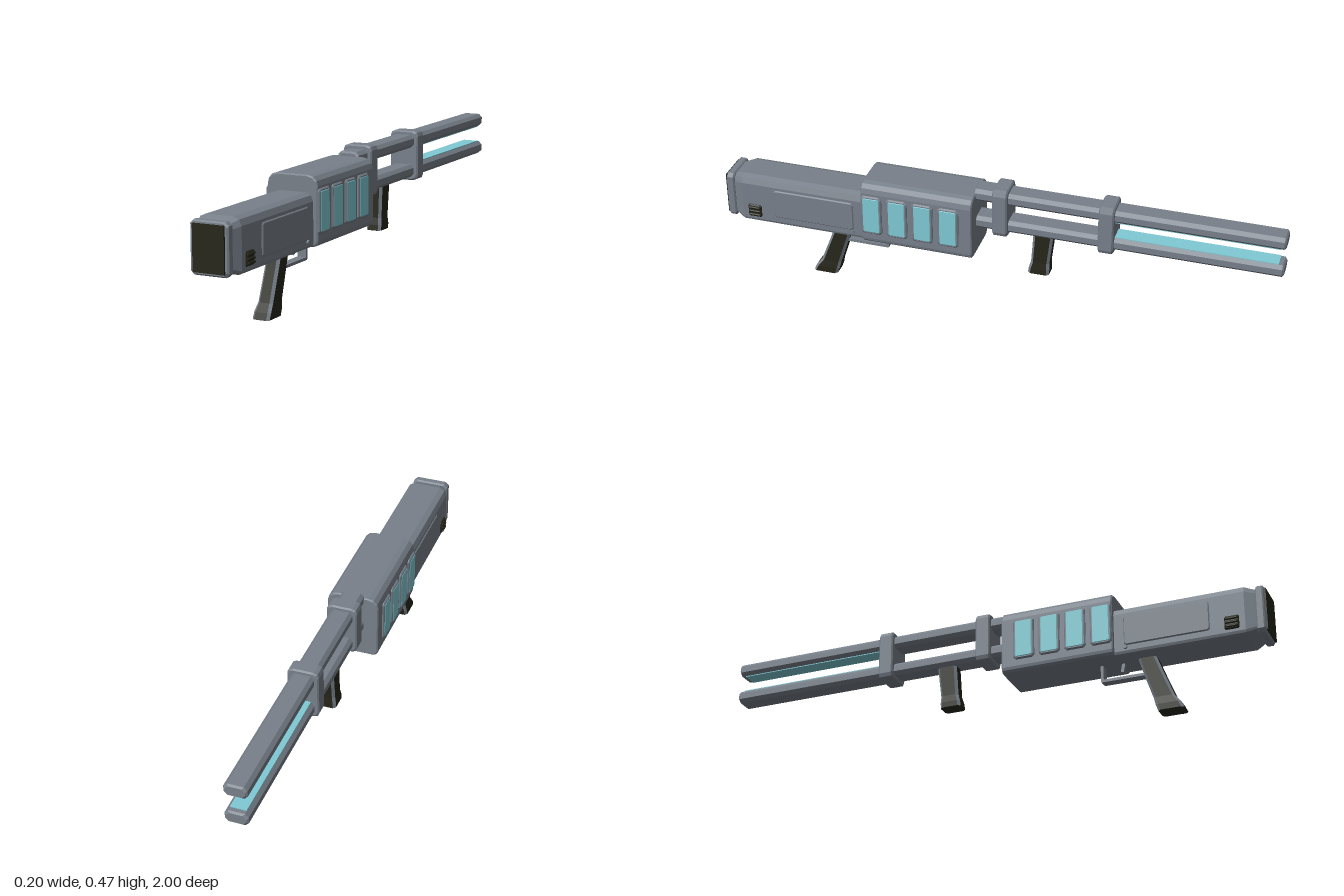
import * as THREE from 'three';

const grey = new THREE.MeshStandardMaterial({ color: 0x78808a });
grey.name = 'gunmetal grey';
const dark = new THREE.MeshStandardMaterial({ color: 0x26261b });
dark.name = 'grip black';
const cyan = new THREE.MeshStandardMaterial({ color: 0x7fcad4 });
cyan.name = 'glowing cyan';

// Rectangle outline with cut or rounded corners, counter-clockwise
function section(hw, y0, y1, rTop, rBottom = rTop, seg = 1) {
  const pts = [];
  const corners = [[1, 1, 0], [-1, 1, 1], [-1, 0, 2], [1, 0, 3]];
  for (const [sx, top, q] of corners) {
    const r = top ? rTop : rBottom;
    const cx = sx * (hw - r), cy = top ? y1 - r : y0 + r;
    for (let i = 0; i <= seg; i++) {
      const a = (q + i / seg) * Math.PI / 2;
      pts.push([cx + r * Math.cos(a), cy + r * Math.sin(a)]);
    }
  }
  return pts;
}

// Flat-shaded loft through outlines along z; group 0 = sides and caps, group 1 = corner strips
function loft(rings) {
  const flat = [], strips = [];
  const n = rings[0].pts.length, per = n / 4;
  const at = (r, i) => [...rings[r].pts[i % n], rings[r].z];
  for (let r = 0; r < rings.length - 1; r++) {
    for (let i = 0; i < n; i++) {
      const a = at(r, i), b = at(r, i + 1), c = at(r + 1, i + 1), d = at(r + 1, i);
      (i % per === per - 1 ? flat : strips).push(...a, ...b, ...c, ...a, ...c, ...d);
    }
  }
  const last = rings.length - 1;
  for (let i = 1; i < n - 1; i++) {
    flat.push(...at(0, 0), ...at(0, i + 1), ...at(0, i));
    flat.push(...at(last, 0), ...at(last, i), ...at(last, i + 1));
  }
  const g = new THREE.BufferGeometry();
  g.setAttribute('position', new THREE.Float32BufferAttribute([...flat, ...strips], 3));
  g.addGroup(0, flat.length / 3, 0);
  g.addGroup(flat.length / 3, strips.length / 3, 1);
  g.computeVertexNormals();
  return g;
}

// Straight bar along z with softened ends
function bar(hw, y0, y1, z0, z1, rTop, rBottom = rTop, bevel = 0.006, seg = 1) {
  const full = section(hw, y0, y1, rTop, rBottom, seg);
  const end = section(hw - bevel, y0 + bevel, y1 - bevel, rTop, rBottom, seg);
  return loft([
    { z: z0, pts: end }, { z: z0 + bevel, pts: full },
    { z: z1 - bevel, pts: full }, { z: z1, pts: end },
  ]);
}

export function createModel() {
  const model = new THREE.Group();
  const add = (name, geo, mat, parent = model) => {
    const m = new THREE.Mesh(geo, mat);
    m.name = name;
    parent.add(m);
    return m;
  };
  const box = (name, mat, x0, x1, y0, y1, z0, z1) => {
    const m = add(name, new THREE.BoxGeometry(x1 - x0, y1 - y0, z1 - z0), mat);
    m.position.set((x0 + x1) / 2, (y0 + y1) / 2, (z0 + z1) / 2);
    return m;
  };
  const both = [grey, grey];

  // Receiver housing
  add('receiver', bar(0.093, 0.203, 0.44, 0.07, 0.475, 0.036, 0.02, 0.004, 3), both);

  // Stock, narrowing towards the butt
  const stockFull = section(0.077, 0.203, 0.383, 0.028, 0.012, 2);
  add('stock', loft([
    { z: 0.46, pts: stockFull }, { z: 0.93, pts: stockFull },
    { z: 0.968, pts: section(0.06, 0.218, 0.37, 0.022, 0.01, 2) },
  ]), both);
  add('buttPlate', bar(0.068, 0.204, 0.376, 0.964, 0.994, 0.012, 0.012, 0.005), both);
  box('buttPad', dark, -0.056, 0.056, 0.214, 0.366, 0.99, 1);

  // Details on each side
  for (const s of [1, -1]) {
    const side = new THREE.Group();
    side.name = s > 0 ? 'leftDetails' : 'rightDetails';
    side.rotation.y = s * Math.PI / 2;
    model.add(side);
    // In this group local z points outwards and local x runs along the gun
    const plate = (name, mat, zMid, len, y0, y1, w0, w1, r) => {
      const m = add(name, bar(len / 2, y0, y1, w0, w1, r, r, Math.min(0.004, (w1 - w0) / 3)), mat, side);
      m.position.x = -s * zMid;
    };
    for (let i = 0; i < 4; i++) {
      const z = 0.435 - i * 0.0935;
      plate('windowFrame', both, z, 0.076, 0.246, 0.397, 0.088, 0.1, 0.008);
      plate('window', [cyan, cyan], z, 0.06, 0.254, 0.389, 0.097, 0.1015, 0.003);
    }
    plate('stockPanel', both, 0.66, 0.3, 0.235, 0.345, 0.07, 0.081, 0.006);
    plate('ventFrame', [dark, dark], 0.885, 0.05, 0.225, 0.273, 0.07, 0.083, 0.004);
    for (let i = 0; i < 3; i++) {
      plate('ventSlat', [dark, dark], 0.885, 0.044, 0.23 + i * 0.014, 0.239 + i * 0.014, 0.08, 0.088, 0.002);
    }
    const pin = add('pin', new THREE.CylinderGeometry(0.007, 0.007, 0.014, 10), grey, side);
    pin.rotation.x = Math.PI / 2;
    pin.position.set(-s * 0.515, 0.228, 0.077);
  }

  // Twin rails with glowing inner faces
  add('upperRail', bar(0.04, 0.41, 0.456, -1, 0.08, 0.012), both);
  add('lowerRail', bar(0.04, 0.302, 0.348, -1, 0.08, 0.012), both);
  box('upperGlowStrip', cyan, -0.028, 0.028, 0.407, 0.411, -0.98, -0.41);
  box('lowerGlowStrip', cyan, -0.028, 0.028, 0.347, 0.351, -0.98, -0.41);

  // Clamps holding the rails together
  for (const z of [-0.018, -0.393]) {
    add('railClamp', bar(0.055, 0.289, 0.47, z - 0.027, z + 0.027, 0.018, 0.018, 0.005, 2), both);
  }

  // Grips: outlines stacked upwards, each level = [y, z middle, half depth, half width]
  const grip = (name, levels) => {
    const g = loft(levels.map(([y, z, hd, hw]) => ({ z: y, pts: section(hw, -z - hd, -z + hd, 0.009) })));
    g.rotateX(-Math.PI / 2);
    add(name, g, [dark, grey]);
  };
  grip('rearGrip', [
    [0, 0.649, 0.045, 0.031], [0.022, 0.64, 0.044, 0.031], [0.05, 0.626, 0.037, 0.027],
    [0.15, 0.59, 0.034, 0.026], [0.21, 0.57, 0.032, 0.026],
  ]);
  grip('foreGrip', [
    [0.145, -0.151, 0.038, 0.028], [0.165, -0.153, 0.037, 0.028],
    [0.19, -0.156, 0.033, 0.025], [0.31, -0.167, 0.036, 0.025],
  ]);

  // Trigger guard and trigger
  box('guardBottom', grey, -0.016, 0.016, 0.142, 0.152, 0.408, 0.57);
  box('guardFront', grey, -0.016, 0.016, 0.145, 0.21, 0.404, 0.414);
  const trigger = box('trigger', grey, -0.007, 0.007, 0.172, 0.212, 0.476, 0.487);
  trigger.rotation.x = 0.2;

  return model;
}
